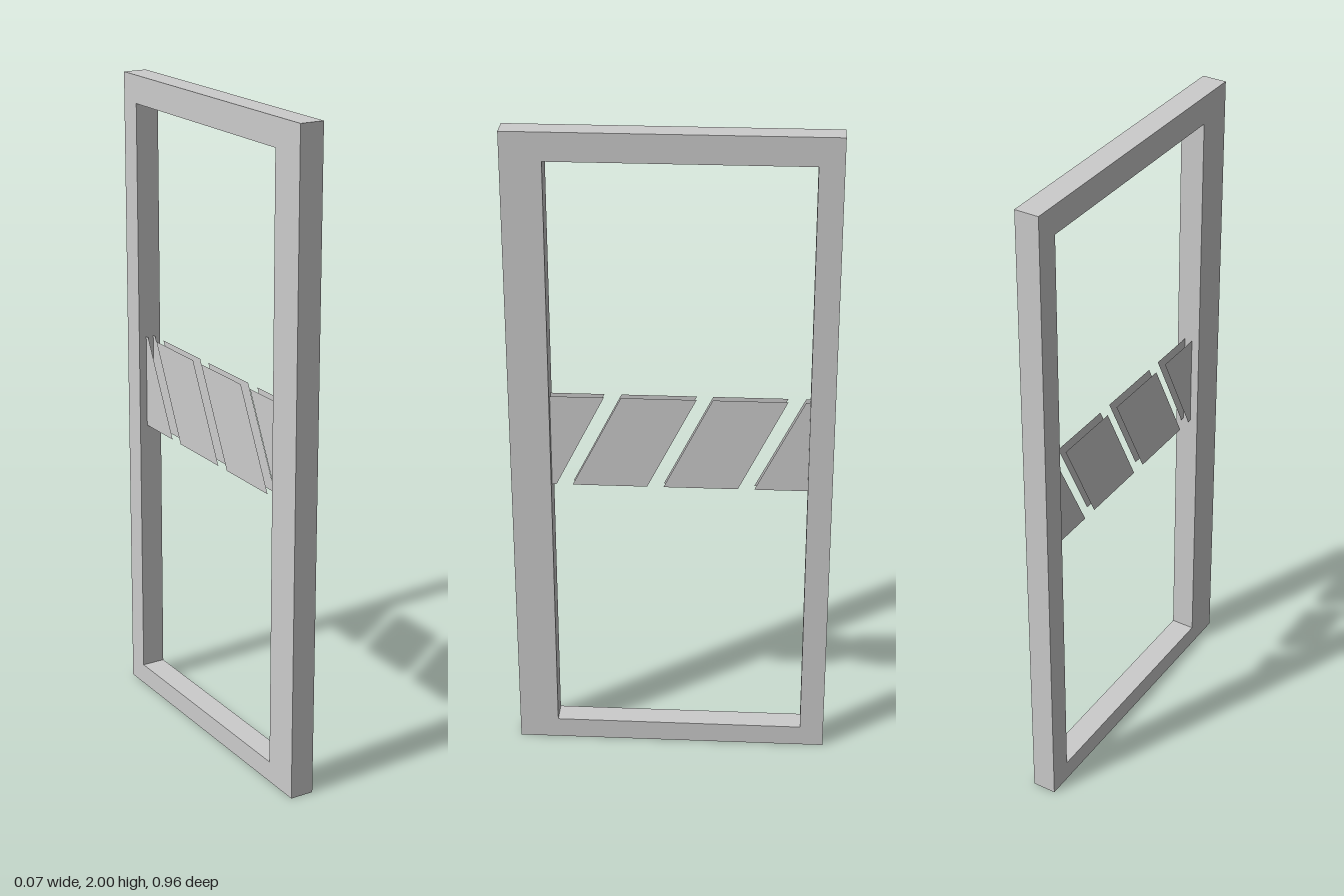
import * as THREE from 'three';

export function createModel() {
  const group = new THREE.Group();
  const solid = new THREE.MeshStandardMaterial({ color: 0xcccccc, flatShading: true });
  const sheet = new THREE.MeshStandardMaterial({ color: 0xcccccc, side: THREE.DoubleSide });

  // Outlines are given as [z, y] pairs; the quarter turn maps local x to -z and depth to x
  const points = (pairs) => pairs.map(([z, y]) => new THREE.Vector2(-z, y));
  const add = (geometry, material, name, x = 0) => {
    const mesh = new THREE.Mesh(geometry.rotateY(Math.PI / 2), material);
    mesh.position.x = x;
    mesh.name = name;
    group.add(mesh);
  };

  // Door frame with an off-centre opening
  const depth = 0.074;
  const outline = new THREE.Shape(points([[0.48, 0], [-0.48, 0], [-0.48, 2], [0.48, 2]]));
  const front = 0.36, back = -0.407;
  outline.holes.push(new THREE.Path(points([
    [front, 0.065], [front, 1.915], [back, 1.915], [back, 0.065],
  ])));
  const frame = new THREE.ExtrudeGeometry(outline, { depth, bevelEnabled: false });
  frame.translate(0, 0, -depth / 2);
  add(frame, solid, 'doorFrame');

  // Slanted stripes across the opening, clipped at its sides, on both faces of the pane
  const low = 0.895, high = 1.186;
  const stripes = [
    [front, 0.347, 0.2, front],
    [0.298, 0.074, -0.073, 0.15],
    [0.025, -0.198, -0.342, -0.121],
    [-0.247, back, back, -0.394],
  ];
  for (const x of [0.0125, -0.0125]) {
    stripes.forEach(([a, b, c, d], i) => {
      const shape = new THREE.Shape(points([[a, low], [b, low], [c, high], [d, high]]));
      add(new THREE.ShapeGeometry(shape), sheet, `${x > 0 ? 'left' : 'right'}Stripe${i + 1}`, x);
    });
  }
  return group;
}
